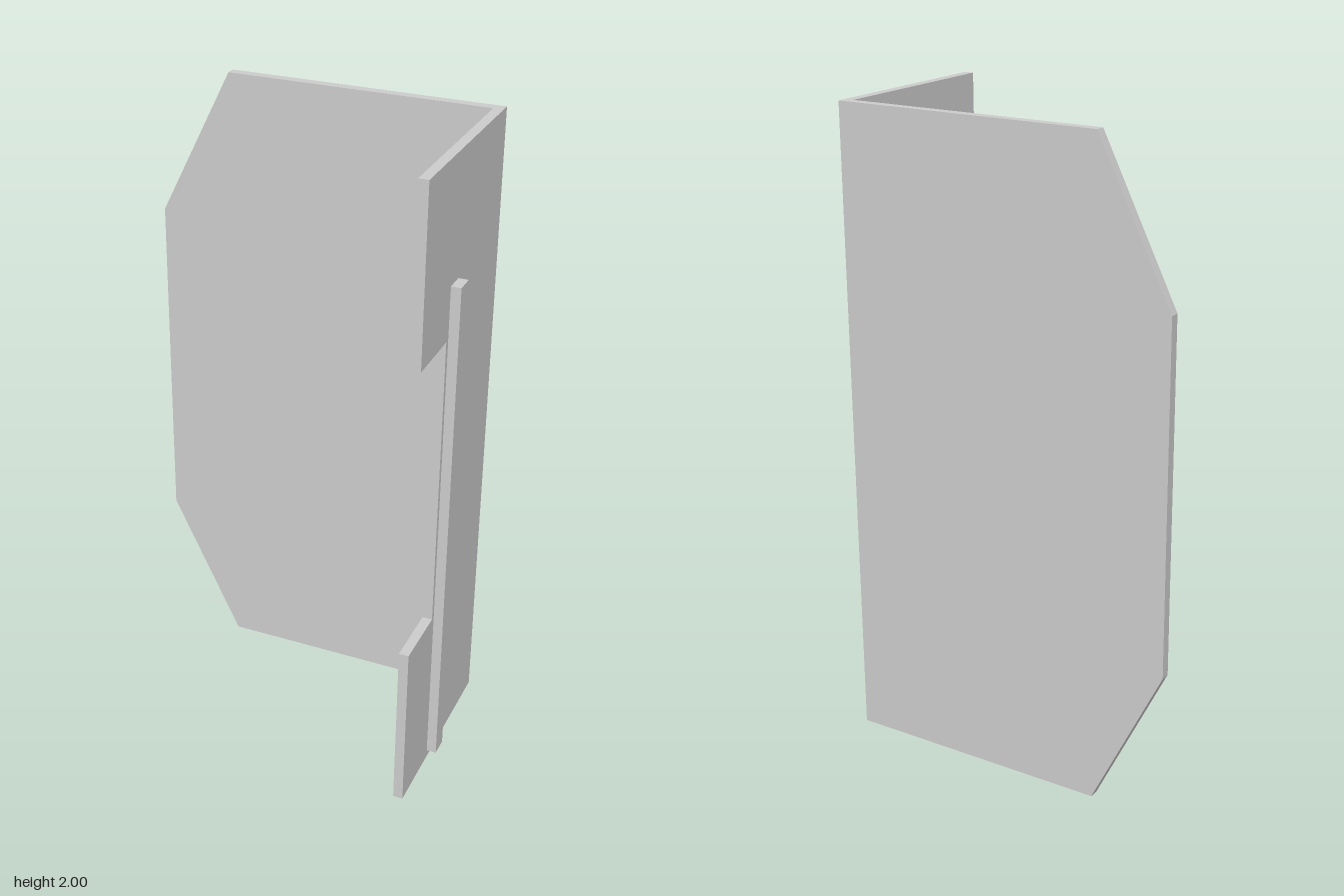
import * as THREE from 'three';

const THICKNESS = 0.03;

// Flat plate cut from an outline in its own x-y plane
function plate(name, outline, material) {
  const shape = new THREE.Shape(outline.map(([x, y]) => new THREE.Vector2(x, y)));
  const geometry = new THREE.ExtrudeGeometry(shape, { depth: THICKNESS, bevelEnabled: false });
  const mesh = new THREE.Mesh(geometry, material);
  mesh.name = name;
  return mesh;
}

export function createModel() {
  const group = new THREE.Group();
  group.name = 'angleBracket';
  const material = new THREE.MeshStandardMaterial({ color: 0xcccccc, flatShading: true });

  // Wide back plate with two clipped corners
  const back = plate('backPlate', [
    [-0.325, 0], [0.52, 0], [0.52, 2], [-0.325, 2], [-0.555, 1.535], [-0.555, 0.465],
  ], material);
  back.position.z = -0.315;

  // Side plate with a notch in its front edge, butted against the back plate
  const side = plate('sidePlate', [
    [-0.285, 0], [0.315, 0], [0.315, 0.54], [0.115, 0.54],
    [0.115, 1.465], [0.315, 1.465], [0.315, 2], [-0.285, 2],
  ], material);
  side.rotation.y = -Math.PI / 2;
  side.position.x = 0.52;

  // Raised strip on the outer face of the side plate
  const strip = new THREE.Mesh(new THREE.BoxGeometry(THICKNESS, 1.6, 0.06), material);
  strip.name = 'outerStrip';
  strip.position.set(0.535, 0.825, 0.07);

  group.add(back, side, strip);
  return group;
}
